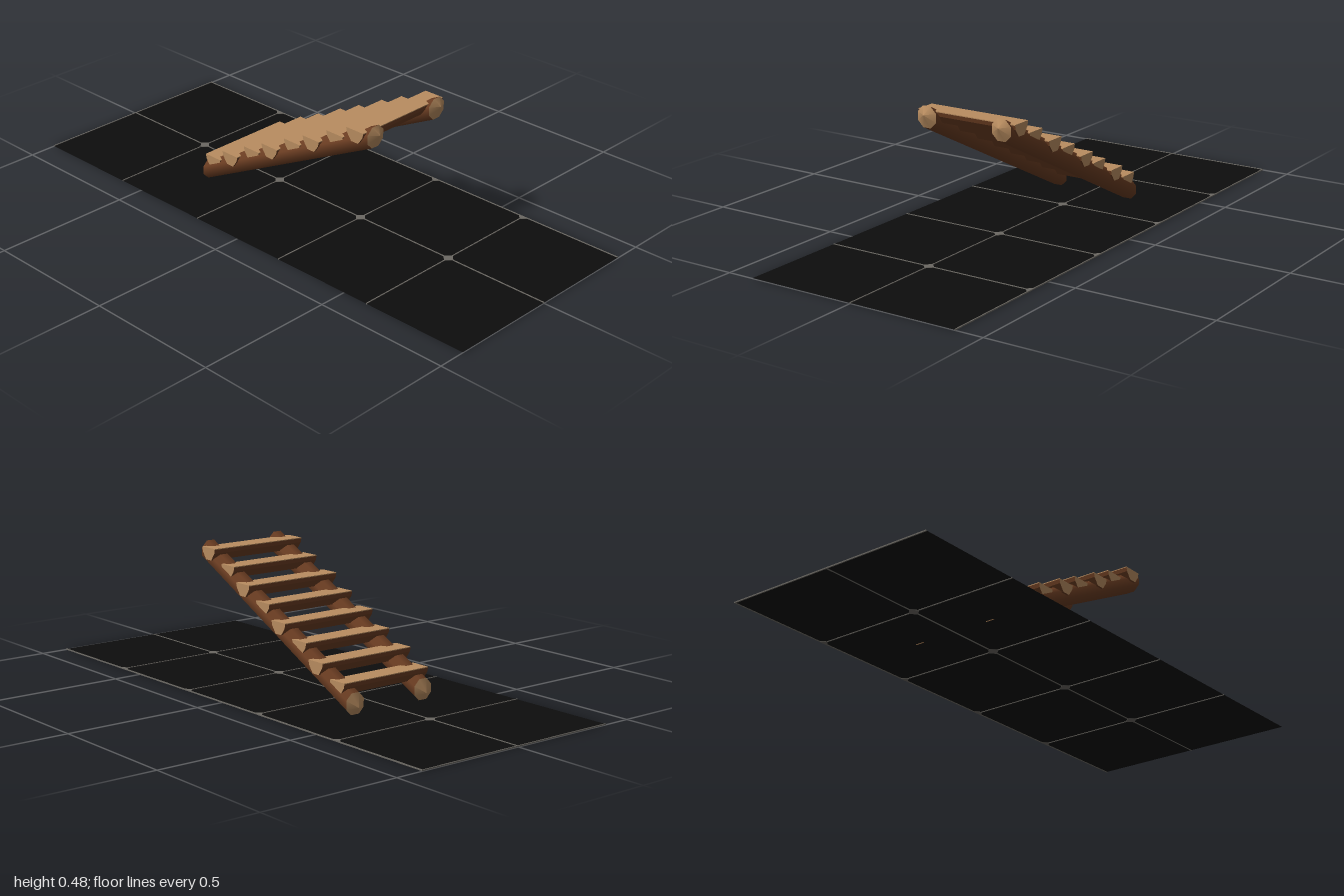
import * as THREE from 'three';

const bark = new THREE.MeshStandardMaterial({ name: 'bark', color: 0x6b3d22 });
const wood = new THREE.MeshStandardMaterial({ name: 'cut wood', color: 0xb98d60 });
const tile = new THREE.MeshStandardMaterial({ name: 'ground black', color: 0x0d0d0d, side: THREE.DoubleSide });
const line = new THREE.MeshStandardMaterial({ name: 'line grey', color: 0x6b6862 });

const R = 0.0375 / Math.cos(Math.PI / 8);   // octagon with flat sides
const SLOPE = 0.5;

function add(parent, name, geometry, material, x = 0, y = 0, z = 0) {
  const mesh = new THREE.Mesh(geometry, material);
  mesh.name = name;
  mesh.position.set(x, y, z);
  parent.add(mesh);
  return mesh;
}

// Octagonal log lying along x and sheared uphill, with shallow pointed ends
function makeRail(name, z) {
  const rail = new THREE.Group();
  rail.name = name;
  rail.position.set(0, 0.2375, z);
  const shear = new THREE.Matrix4().makeShear(SLOPE, 0, 0, 0, 0, 0);
  const log = new THREE.CylinderGeometry(R, R, 0.8, 8, 1, true, Math.PI / 8);
  add(rail, 'railLog', log.rotateZ(-Math.PI / 2).applyMatrix4(shear), bark);
  for (const s of [-1, 1]) {
    const cap = new THREE.ConeGeometry(R, 0.02, 8, 1, true, Math.PI / 8);
    cap.rotateZ(-s * Math.PI / 2).translate(s * 0.41, 0, 0).applyMatrix4(shear);
    add(rail, 'railEnd', cap, wood);
  }
  return rail;
}

// Half log with a flat cut top
function makeStep(x, length) {
  const step = new THREE.Group();
  step.name = 'step';
  step.position.set(x, 0.282 + SLOPE * x, 0);
  const half = [[0.0375, 0], [0.034, -0.016], [0.0155, -0.042]];
  const profile = [...half.map(([a, b]) => [-a, b]), ...half.slice().reverse()];
  const shape = new THREE.Shape(profile.map(([a, b]) => new THREE.Vector2(a, b)));
  const body = new THREE.ExtrudeGeometry(shape, { depth: length, bevelEnabled: false });
  add(step, 'halfLog', body.translate(0, 0, -length / 2), [wood, bark]);
  add(step, 'stepTop', new THREE.BoxGeometry(0.075, 0.003, length), wood);
  return step;
}

// Thin ground sheet with a line grid and diamond marks at the crossings
function makeGround() {
  const ground = new THREE.Group();
  ground.name = 'ground';
  add(ground, 'groundSheet', new THREE.PlaneGeometry(2, 0.8).rotateX(-Math.PI / 2), tile, 0, 0.002);
  const w = 0.004, h = 0.004;
  for (const z of [-0.398, 0]) add(ground, 'longLine', new THREE.BoxGeometry(2, h, w), line, 0, 0.002, z);
  for (let i = 0; i < 5; i++) {
    const x = -1 + i * 0.4;
    add(ground, 'crossLine', new THREE.BoxGeometry(w, h, 0.8), line, i ? x : x + w / 2, 0.002, 0);
    if (!i) continue;
    const diamond = new THREE.CylinderGeometry(0.022, 0.022, h, 4);
    add(ground, 'mark', diamond, line, x, 0.002, 0);
    // Half mark cut off by the rear edge
    const halfMark = new THREE.CylinderGeometry(0.022, 0.022, h, 2, 1, false, -Math.PI / 2, Math.PI);
    add(ground, 'edgeMark', halfMark, line, x, 0.002, -0.4);
  }
  return ground;
}

export function createModel() {
  const model = new THREE.Group();
  model.name = 'logStairs';
  model.add(makeGround(), makeRail('frontRail', 0.15), makeRail('backRail', -0.15));
  for (let i = 0; i < 8; i++) model.add(makeStep(-0.35 + i * 0.1, i % 2 ? 0.39 : 0.37));
  return model;
}
